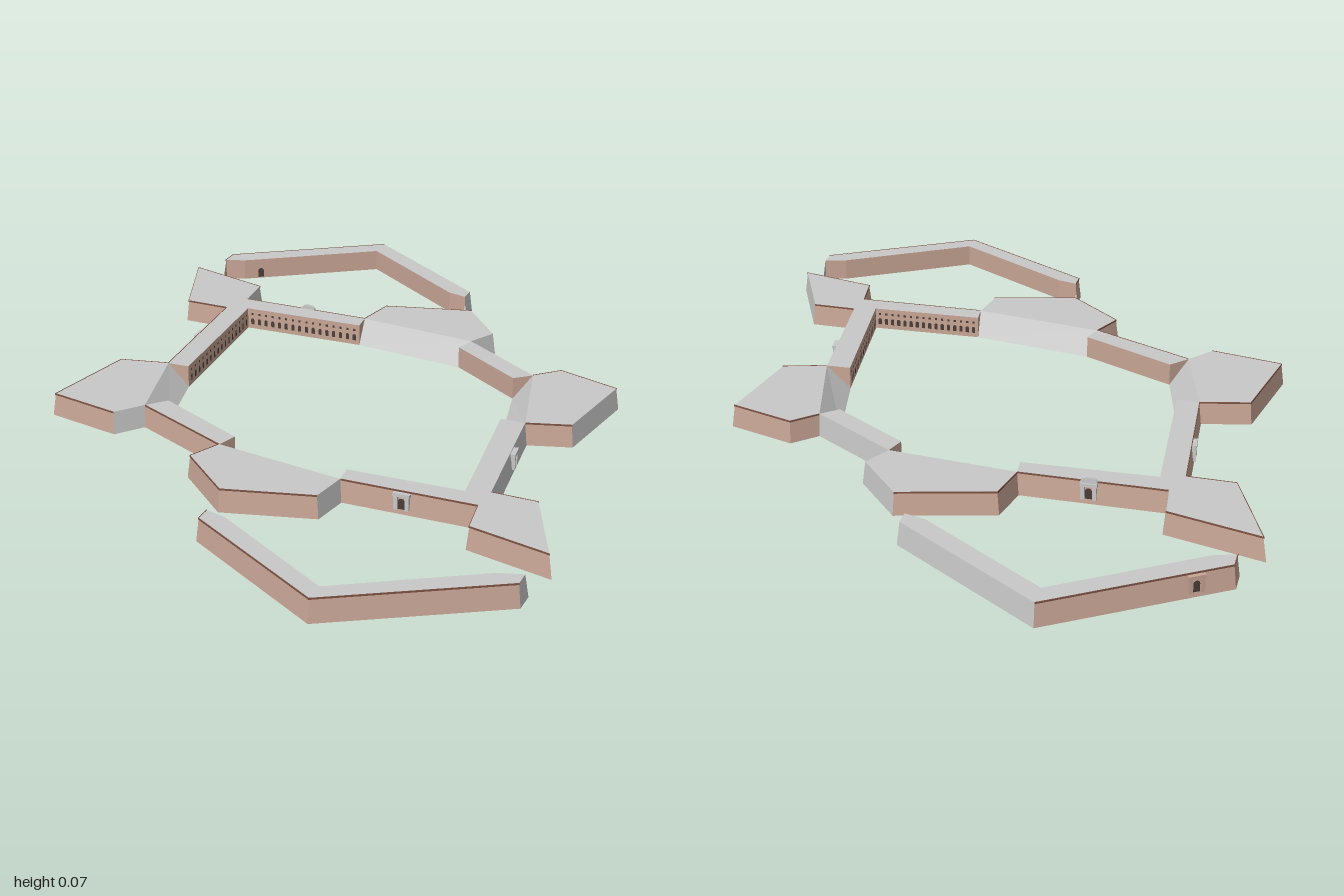
import * as THREE from 'three';

const H = 0.055;
const mat = (name, color) => {
  const m = new THREE.MeshStandardMaterial({ color, side: THREE.DoubleSide });
  m.name = name;
  return m;
};

// Bastions in ring order: outer points [x, z], then the inner gorge points;
// gate is the place of the gate along the curtain that follows
const BASTIONS = [
  { pts: [[-0.505, -0.37], [-0.62, -0.375], [-0.708, -0.612], [-0.49, -0.545], [-0.48, -0.445]], inner: [[-0.45, -0.385]], gate: 0.52 },
  { pts: [[-0.135, -0.435], [-0.115, -0.54], [0.105, -0.595], [0.21, -0.465], [0.175, -0.395]], inner: [[-0.13, -0.385], [0.16, -0.345]] },
  { pts: [[0.39, -0.245], [0.445, -0.3], [0.602, -0.245], [0.565, 0], [0.46, 0.03]], inner: [[0.35, -0.21], [0.4, 0.03]], gate: 0.4 },
  { pts: [[0.505, 0.405], [0.615, 0.41], [0.708, 0.627], [0.515, 0.575], [0.5, 0.475]], inner: [[0.45, 0.42]], gate: 0.54 },
  { pts: [[0.175, 0.47], [0.16, 0.565], [-0.05, 0.617], [-0.185, 0.49], [-0.15, 0.41]], inner: [[0.17, 0.42], [-0.135, 0.36]] },
  { pts: [[-0.41, 0.28], [-0.46, 0.345], [-0.64, 0.303], [-0.595, 0.055], [-0.475, 0.03]], inner: [[-0.37, 0.235], [-0.42, 0.03]], gate: 0.54 },
];
// Detached outworks: five outer points, then three inner points
const OUTWORKS = [
  [[-0.665, -0.7], [-0.665, -0.745], [-0.3, -0.99], [0.055, -0.725], [0.055, -0.685], [0.005, -0.7], [-0.3, -0.93], [-0.615, -0.715]],
  [[0.69, 0.73], [0.69, 0.77], [0.325, 0.987], [-0.03, 0.76], [-0.03, 0.72], [0.02, 0.735], [0.325, 0.935], [0.635, 0.745]],
];

const normal = (a, b) => {
  const dx = b[0] - a[0], dz = b[1] - a[1], l = Math.hypot(dx, dz);
  return [dz / l, -dx / l];
};
// Mitred outward offset of a closed ring
const offset = (ring, d) => ring.map((p, i) => {
  const n = ring.length;
  const u = normal(ring[(i + n - 1) % n], p), v = normal(p, ring[(i + 1) % n]);
  const k = d / Math.max(0.4, 1 + u[0] * v[0] + u[1] * v[1]);
  return [p[0] + (u[0] + v[0]) * k, p[1] + (u[1] + v[1]) * k];
});
const at = (p, y) => [p[0], y, p[1]];
const lerp = (a, b, t) => [a[0] + (b[0] - a[0]) * t, a[1] + (b[1] - a[1]) * t];

// Mesh from flat faces of three or four corners
function faces(parent, name, material, list) {
  const pos = [];
  for (const f of list) {
    for (let i = 2; i < f.length; i++) pos.push(...f[0], ...f[i - 1], ...f[i]);
  }
  const g = new THREE.BufferGeometry();
  g.setAttribute('position', new THREE.Float32BufferAttribute(pos, 3));
  g.computeVertexNormals();
  const mesh = new THREE.Mesh(g, material);
  mesh.name = name;
  parent.add(mesh);
}

function deck(parent, name, material, ring) {
  const g = new THREE.ShapeGeometry(new THREE.Shape(ring.map(p => new THREE.Vector2(p[0], -p[1]))));
  const mesh = new THREE.Mesh(g.rotateX(-Math.PI / 2).translate(0, H, 0), material);
  mesh.name = name;
  parent.add(mesh);
}

const wall = (a, b, a2 = a, b2 = b, y0 = 0, y1 = H) => [at(b, y0), at(a, y0), at(a2, y1), at(b2, y1)];

export function createModel() {
  const root = new THREE.Group();
  root.name = 'bastionFort';
  const brick = mat('brick', 0xc7a595);
  const stone = mat('stone', 0xc8c8c8);
  const trim = mat('brownTrim', 0x7d5444);
  const dark = mat('opening', 0x4a3d38);

  // Battered outer walls; east-facing walls are stone, brick ones carry a brown cordon
  function scarp(parent, ring, count) {
    const base = offset(ring, 0.006), out = offset(ring, 0.0015);
    const b = [], s = [], c = [];
    for (let i = 0; i < count; i++) {
      const j = (i + 1) % ring.length;
      const face = wall(base[i], base[j], ring[i], ring[j]);
      if (normal(ring[i], ring[j])[0] > 0.53) {
        s.push(face);
        continue;
      }
      b.push(face);
      c.push(wall(out[i], out[j], out[i], out[j], 0.052, 0.056));
      c.push([at(out[j], 0.056), at(out[i], 0.056), at(ring[i], 0.056), at(ring[j], 0.056)]);
    }
    faces(parent, 'brickScarp', brick, b);
    faces(parent, 'stoneScarp', stone, s);
    faces(parent, 'cordon', trim, c);
  }

  // Group whose local +z points along n, standing at p
  function mount(parent, name, p, n) {
    const g = new THREE.Group();
    g.name = name;
    g.position.set(p[0], 0, p[1]);
    g.rotation.y = Math.atan2(n[0], n[1]);
    parent.add(g);
    return g;
  }
  function add(parent, name, geo, material, x, y, z) {
    const m = new THREE.Mesh(geo, material);
    m.name = name;
    m.position.set(x, y, z);
    parent.add(m);
  }
  const archShape = (w, h) => {
    const s = new THREE.Shape();
    s.moveTo(-w / 2, 0);
    s.lineTo(w / 2, 0);
    s.lineTo(w / 2, h - w / 2);
    s.absarc(0, h - w / 2, w / 2, 0, Math.PI, false);
    return s;
  };
  const smallArch = new THREE.ShapeGeometry(archShape(0.009, 0.017), 4);
  const smallWindow = new THREE.PlaneGeometry(0.006, 0.006);
  const gateArch = new THREE.ShapeGeometry(archShape(0.016, 0.026), 6);

  // Gatehouse front, optionally with a rounded gable
  function gate(p, n, material, gable) {
    const g = mount(root, 'gate', p, n);
    for (const s of [-1, 1]) add(g, 'gatePier', new THREE.BoxGeometry(0.009, 0.036, 0.014), material, s * 0.0135, 0.03, 0.004);
    add(g, 'gateLintel', new THREE.BoxGeometry(0.04, 0.008, 0.016), material, 0, 0.048, 0.004);
    add(g, 'gateOpening', gateArch, dark, 0, 0.013, 0.0075);
    if (gable) {
      const half = new THREE.CylinderGeometry(0.02, 0.02, 0.008, 16, 1, false, -Math.PI / 2, Math.PI);
      add(g, 'gateGable', half.rotateX(-Math.PI / 2).scale(1, 0.7, 1), material, 0, 0.052, 0.004);
    }
  }

  scarp(root, BASTIONS.flatMap(b => b.pts), 30);

  BASTIONS.forEach((b, i) => {
    const next = BASTIONS[(i + 1) % BASTIONS.length];
    const ramped = b.inner.length === 2;
    const o0 = b.pts[0], o1 = b.pts[4];

    // Bastion deck, and a ramp down to the courtyard
    deck(root, 'bastionDeck', stone, ramped ? b.pts : [...b.pts, b.inner[0]]);
    if (ramped) {
      const [i0, i1] = b.inner;
      faces(root, 'ramp', stone, [[at(i0, 0), at(i1, 0), at(o1, H), at(o0, H)]]);
      faces(root, 'rampCheeks', brick, [
        [at(o0, H), at(i0, 0), at(i0, H)],
        [at(o1, H), at(i1, H), at(i1, 0)],
      ]);
    }

    // Curtain wall to the next bastion
    const a = b.inner[b.inner.length - 1], c = next.inner[0], e = next.pts[0];
    deck(root, 'curtainWalk', stone, [o1, e, c, a]);
    faces(root, 'curtainInnerWall', brick, [wall(c, a)]);

    // Long curtains carry a gate and an inner arcade with small windows above
    if (b.gate) {
      const n = normal(o1, e), m = normal(c, a);
      gate(lerp(o1, e, b.gate), n, stone, i === 0);
      for (let k = 0; k < 16; k++) {
        const p = lerp(a, c, (k + 0.7) / 16.4);
        const g = mount(root, 'arcadeBay', [p[0] + m[0] * 0.0015, p[1] + m[1] * 0.0015], m);
        add(g, 'archOpening', smallArch, dark, 0, 0.012, 0);
        add(g, 'windowOpening', smallWindow, dark, 0, 0.041, 0);
      }
    }
  });

  // Chevron outworks; the rear one has a brick gate passage
  OUTWORKS.forEach((ring, i) => {
    const g = new THREE.Group();
    g.name = 'outwork';
    root.add(g);
    scarp(g, ring, 4);
    deck(g, 'outworkWalk', stone, ring);
    faces(g, 'outworkInnerWall', brick, [4, 5, 6, 7].map(k => wall(ring[k], ring[(k + 1) % 8])));
    if (i === 0) {
      const n = normal(ring[1], ring[2]);
      gate(lerp(ring[1], ring[2], 0.2), n, brick, false);
      const q = lerp(ring[7], ring[6], 0.12);
      const inner = mount(g, 'innerGate', [q[0] - n[0] * 0.0015, q[1] - n[1] * 0.0015], [-n[0], -n[1]]);
      add(inner, 'gateOpening', gateArch, dark, 0, 0.003, 0);
    }
  });
  return root;
}
